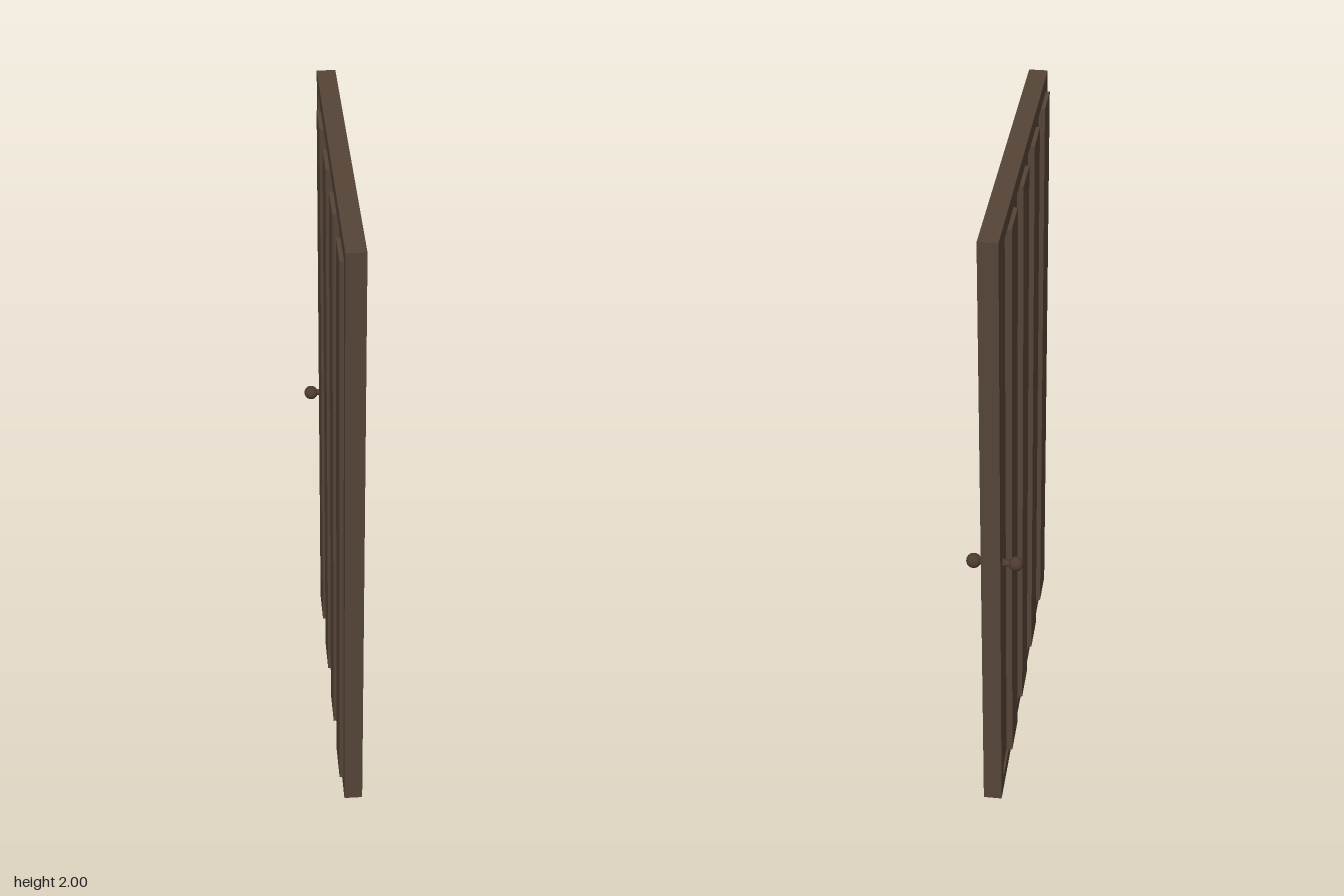
import * as THREE from 'three';

export function createModel() {
  const group = new THREE.Group();
  group.name = 'plankDoor';
  const wood = new THREE.MeshStandardMaterial({ color: 0x564437 });
  wood.name = 'dark wood';
  const metal = new THREE.MeshStandardMaterial({ color: 0x4c3a30 });
  metal.name = 'dark bronze';

  const add = (name, geometry, material, x, y, z) => {
    const mesh = new THREE.Mesh(geometry, material);
    mesh.name = name;
    mesh.position.set(x, y, z);
    group.add(mesh);
    return mesh;
  };
  // Box given by its limits on each axis
  const box = (name, x0, x1, y0, y1, z0, z1) =>
    add(name, new THREE.BoxGeometry(x1 - x0, y1 - y0, z1 - z0), wood,
      (x0 + x1) / 2, (y0 + y1) / 2, (z0 + z1) / 2);

  const W = 0.555, IN = 0.511, LOW = 0.05, HIGH = 1.95;

  // Surrounding frame: one rectangle with a rectangular hole
  const outline = new THREE.Shape([
    new THREE.Vector2(-W, 0), new THREE.Vector2(W, 0),
    new THREE.Vector2(W, 2), new THREE.Vector2(-W, 2),
  ]);
  outline.holes.push(new THREE.Path([
    new THREE.Vector2(-IN, LOW), new THREE.Vector2(-IN, HIGH),
    new THREE.Vector2(IN, HIGH), new THREE.Vector2(IN, LOW),
  ]));
  const frame = new THREE.ExtrudeGeometry(outline, { depth: 0.057, bevelEnabled: false });
  frame.rotateY(Math.PI / 2);
  add('frame', frame, wood, -0.031, 0, 0);

  // Eight upright planks, every second one set back
  const step = (2 * IN) / 8;
  for (let i = 0; i < 8; i++) {
    const z = -IN + i * step;
    const [x0, x1] = i % 2 ? [-0.043, 0.008] : [-0.024, 0.024];
    box('plank', x0, x1, LOW, HIGH, z, z + step);
  }

  // Round knob on a tapered neck, one on each face
  const neck = new THREE.CylinderGeometry(0.008, 0.015, 0.036, 20);
  neck.rotateZ(-Math.PI / 2);
  const ball = new THREE.SphereGeometry(0.0225, 24, 16);
  for (const side of [-1, 1]) {
    const n = add('knobNeck', neck, metal, side * 0.033 - 0.0015, 0.88, -0.459);
    if (side < 0) n.rotation.y = Math.PI;
    add('knob', ball, metal, side * 0.063 - 0.0015, 0.88, -0.459);
  }
  return group;
}
